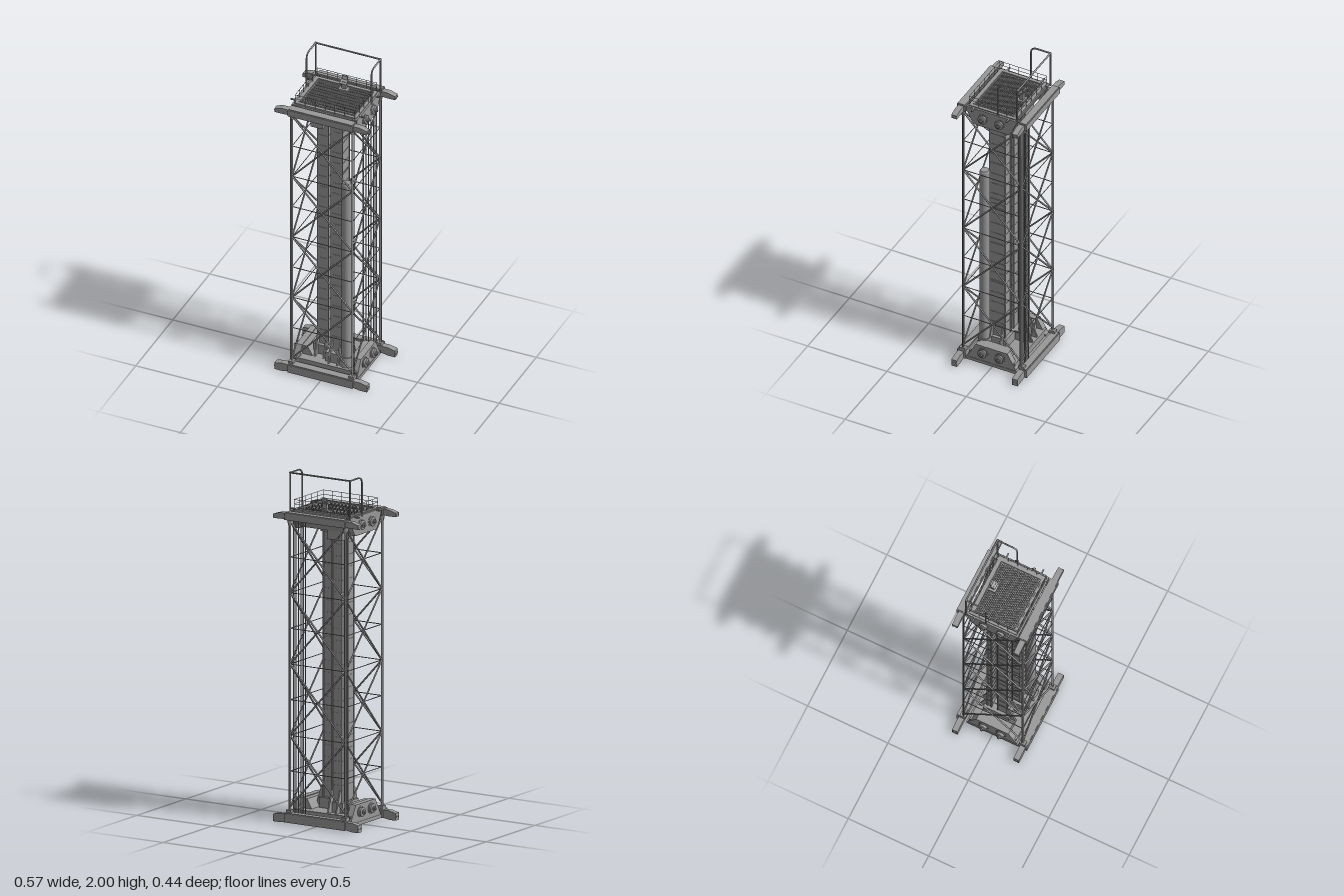
import * as THREE from 'three';

const mat = new THREE.MeshStandardMaterial({ color: 0x989898 });
const V = (x, y, z) => new THREE.Vector3(x, y, z);
const SIDES = [-1, 1];

function add(parent, name, geo, x = 0, y = 0, z = 0) {
  const m = new THREE.Mesh(geo, mat);
  m.name = name;
  m.position.set(x, y, z);
  parent.add(m);
  return m;
}

// Box given by its limits on each axis
function box(parent, name, x0, x1, y0, y1, z0, z1) {
  return add(parent, name, new THREE.BoxGeometry(x1 - x0, y1 - y0, z1 - z0),
    (x0 + x1) / 2, (y0 + y1) / 2, (z0 + z1) / 2);
}

// Round bar between two points
function bar(parent, name, a, b, r, sides = 6) {
  const m = add(parent, name, new THREE.CylinderGeometry(r, r, a.distanceTo(b), sides));
  m.position.copy(a).lerp(b, 0.5);
  m.quaternion.setFromUnitVectors(V(0, 1, 0), b.clone().sub(a).normalize());
  return m;
}

// Outline in x,y extruded along z, centred on z = 0
function prism(points, depth) {
  const s = new THREE.Shape(points.map(p => new THREE.Vector2(...p)));
  return new THREE.ExtrudeGeometry(s, { depth, bevelEnabled: false }).translate(0, 0, -depth / 2);
}

function group(parent, name) {
  const g = new THREE.Group();
  g.name = name;
  parent.add(g);
  return g;
}

// Stepped roller hub on an end plate, pointing along x
function hub(parent, side, y, z) {
  const profile = [[0, 0], [0.031, 0], [0.031, 0.008], [0.024, 0.008], [0.024, 0.016], [0.027, 0.016],
    [0.027, 0.021], [0.014, 0.024], [0.014, 0.03], [0.007, 0.03], [0.007, 0.038], [0, 0.038]];
  const geo = new THREE.LatheGeometry(profile.map(p => new THREE.Vector2(...p)), 20).toNonIndexed();
  geo.computeVertexNormals();
  add(parent, 'rollerHub', geo, side * 0.194, y, z).rotation.z = -side * Math.PI / 2;
}

// Cross beam with a tapered arm at each end
function crossBeam(parent, s, yLow, yHigh, tipLow, tipHigh) {
  const z = s > 0 ? 0.19 : -0.198, w = s > 0 ? 0.027 : 0.024, armZ = s * 0.191;
  box(parent, 'crossBeam', -0.2, 0.2, yLow, yHigh, z - w, z + w);
  box(parent, 'beamCap', -0.196, 0.196, yHigh, yHigh + 0.004, z - w + 0.005, z + w - 0.005);
  for (const x of SIDES) {
    const pts = [[0.19, yLow + 0.003], [0.24, tipLow], [0.283, tipLow], [0.283, tipHigh], [0.24, yHigh - 0.004], [0.19, yHigh - 0.004]];
    const arm = add(parent, 'beamArm', prism(pts, 0.034), 0, 0, armZ);
    if (x < 0) arm.rotation.y = Math.PI;
    for (const dz of [-0.011, 0.011]) {
      bar(parent, 'armBolt', V(x * 0.28, (tipLow + tipHigh) / 2, armZ + dz), V(x * 0.287, (tipLow + tipHigh) / 2, armZ + dz), 0.004);
    }
  }
}

function buildBase(root) {
  const g = group(root, 'base');
  box(g, 'floorPlate', -0.2, 0.2, 0.01, 0.03, -0.16, 0.16);
  box(g, 'deck', -0.19, 0.19, 0.03, 0.07, -0.145, 0.145);
  for (const s of SIDES) {
    const plate = prism([[-0.15, 0.02], [0.15, 0.02], [0.15, 0.04], [0.1, 0.13], [-0.1, 0.13], [-0.15, 0.04]], 0.035);
    add(g, 'endPlate', plate.rotateY(Math.PI / 2), s * 0.18);
    for (const z of [-0.053, 0.053]) hub(g, s, 0.085, z);
    // sloped cover behind the end plate
    const cover = add(g, 'endCover', prism([[0.1, 0.07], [0.17, 0.07], [0.17, 0.125], [0.13, 0.125]], 0.19));
    if (s < 0) cover.rotation.y = Math.PI;
    crossBeam(g, s, 0.006, 0.056, 0, 0.042);
    for (const x of SIDES) box(g, 'polePad', x * 0.185 - 0.015, x * 0.185 + 0.015, 0.056, 0.075, s * 0.185 - 0.018, s * 0.185 + 0.018);
  }
  // column feet with gussets
  box(g, 'columnFoot', -0.11, -0.015, 0.07, 0.13, -0.1, 0.06);
  box(g, 'columnFoot', -0.015, 0.09, 0.07, 0.13, -0.035, 0.11);
  const gusset = [[0, 0.07], [0.055, 0.07], [0.015, 0.195], [0, 0.195]];
  for (const x of [-0.088, -0.034]) {
    add(g, 'gusset', prism(gusset, 0.009).rotateY(Math.PI / 2), x, 0, -0.083);
    add(g, 'gusset', prism(gusset, 0.009).rotateY(-Math.PI / 2), x, 0, 0.04);
  }
  for (const x of [0.012, 0.066]) add(g, 'gusset', prism(gusset, 0.009).rotateY(-Math.PI / 2), x, 0, 0.075);
  for (const z of [-0.01, 0.06]) add(g, 'gusset', prism(gusset, 0.009), 0.073, 0, z);
  add(g, 'cylinderFoot', new THREE.CylinderGeometry(0.036, 0.042, 0.06, 20), 0.107, 0.1, 0.09);
}

function buildHead(root) {
  const g = group(root, 'head');
  const body = prism([[-0.105, 1.68], [0.105, 1.68], [0.15, 1.765], [-0.15, 1.765]], 0.34);
  add(g, 'headBody', body.rotateY(Math.PI / 2));
  for (const s of SIDES) {
    const plate = prism([[-0.11, 1.67], [0.11, 1.67], [0.13, 1.70], [0.158, 1.765], [0.158, 1.78], [-0.158, 1.78], [-0.158, 1.765], [-0.13, 1.70]], 0.03);
    add(g, 'endPlate', plate.rotateY(Math.PI / 2), s * 0.185);
    for (const z of [-0.053, 0.053]) hub(g, s, 1.725, z);
    for (const z of [-0.109, 0.109]) box(g, 'sidePin', s * 0.21 - 0.018, s * 0.21 + 0.018, 1.774, 1.782, z - 0.004, z + 0.004);
    crossBeam(g, s, 1.735, 1.775, 1.735, 1.758);
    for (const x of SIDES) {
      add(g, 'poleSocket', new THREE.CylinderGeometry(0.016, 0.012, 0.035, 12), x * 0.185, 1.72, s * 0.185);
      box(g, 'beamLink', x * 0.185 - 0.01, x * 0.185 + 0.01, 1.74, 1.76, Math.min(s * 0.14, s * 0.2), Math.max(s * 0.14, s * 0.2));
    }
  }
  // column mounts under the head
  box(g, 'columnMount', -0.11, -0.01, 1.63, 1.69, -0.105, -0.035);
  box(g, 'columnMount', -0.01, 0.085, 1.65, 1.69, -0.03, 0.09);
  box(g, 'mountBlock', -0.105, -0.03, 1.63, 1.69, 0.04, 0.115);

  // platform: stepped frames around a perforated deck
  box(g, 'platformPlate', -0.2, 0.2, 1.762, 1.774, -0.152, 0.158);
  const frame = (x, z, w, y0, y1) => {
    for (const s of SIDES) {
      box(g, 'frameRail', -x, x, y0, y1, s * (z - w / 2) - w / 2, s * (z - w / 2) + w / 2);
      box(g, 'frameRail', s * (x - w / 2) - w / 2, s * (x - w / 2) + w / 2, y0, y1, -z + w, z - w);
    }
  };
  frame(0.19, 0.148, 0.02, 1.772, 1.786);
  frame(0.172, 0.13, 0.008, 1.772, 1.79);
  const deck = new THREE.Shape([[-0.166, -0.124], [0.166, -0.124], [0.166, 0.124], [-0.166, 0.124]].map(p => new THREE.Vector2(...p)));
  const pitch = 0.0118, r = 0.0051;
  for (let row = 0; row < 23; row++) {
    for (let col = 0; col < 27; col++) {
      const cx = (col - 13) * pitch + (row % 2 ? 0.00295 : -0.00295), cy = (row - 11) * 0.0103;
      const pts = [];
      for (let k = 0; k < 6; k++) pts.push(new THREE.Vector2(cx + r * Math.sin(k * Math.PI / 3), cy + r * Math.cos(k * Math.PI / 3)));
      deck.holes.push(new THREE.Path(pts));
    }
  }
  const grate = new THREE.ExtrudeGeometry(deck, { depth: 0.006, bevelEnabled: false });
  add(g, 'perforatedDeck', grate.rotateX(-Math.PI / 2), 0, 1.776, 0);

  // control stand
  box(g, 'controlBase', -0.02, 0.035, 1.78, 1.792, -0.113, -0.07);
  box(g, 'controlPost', -0.006, 0.022, 1.79, 1.838, -0.105, -0.085);
  box(g, 'controlPanel', -0.014, 0.028, 1.828, 1.838, -0.108, -0.074).rotation.x = 0.5;
  box(g, 'controlScreen', -0.01, 0.024, 1.836, 1.864, -0.11, -0.102).rotation.x = -0.3;

  // low thin railing
  for (const s of SIDES) {
    for (const y of [1.815, 1.84]) {
      bar(g, 'lowRail', V(-0.183, y, s * 0.148), V(0.183, y, s * 0.148), 0.0014);
      bar(g, 'lowRail', V(s * 0.183, y, -0.148), V(s * 0.183, y, 0.148), 0.0014);
    }
    for (let i = 0; i <= 6; i++) bar(g, 'lowRailPost', V(-0.183 + i * 0.061, 1.78, s * 0.148), V(-0.183 + i * 0.061, 1.84, s * 0.148), 0.0014);
    for (let i = 1; i < 5; i++) bar(g, 'lowRailPost', V(s * 0.183, 1.78, -0.148 + i * 0.0592), V(s * 0.183, 1.84, -0.148 + i * 0.0592), 0.0014);
  }

  // tall guard rail: curved at the front, square at the back
  for (const s of SIDES) {
    const x = s * 0.199;
    const path = new THREE.CurvePath();
    path.add(new THREE.LineCurve3(V(x, 1.77, -0.04), V(x, 1.955, -0.04)));
    path.add(new THREE.QuadraticBezierCurve3(V(x, 1.955, -0.04), V(x, 1.995, -0.04), V(x, 1.995, -0.08)));
    path.add(new THREE.LineCurve3(V(x, 1.995, -0.08), V(x, 1.995, -0.165)));
    add(g, 'guardHoop', new THREE.TubeGeometry(path, 48, 0.005, 8));
    bar(g, 'guardPost', V(x, 1.77, -0.163), V(x, 2, -0.163), 0.005, 8);
  }
  bar(g, 'guardTopBar', V(-0.203, 1.995, -0.163), V(0.203, 1.995, -0.163), 0.005, 8);
}

function buildTruss(root) {
  const g = group(root, 'truss');
  const h = 0.185, step = 0.204, y0 = 0.09;
  for (const x of SIDES) for (const z of SIDES) bar(g, 'cornerPole', V(x * h, 0.06, z * h), V(x * h, 1.74, z * h), 0.0065, 8);
  // each of the four faces gets crossing braces and thin ties
  for (let f = 0; f < 4; f++) {
    const face = group(g, 'trussFace');
    face.rotation.y = f * Math.PI / 2;
    for (let i = 0; i < 4; i++) {
      const a = y0 + i * 2 * step, b = a + 2 * step;
      for (const s of SIDES) bar(face, 'diagonalBrace', V(-s * h, a, h), V(s * h, b, h), 0.005);
    }
    for (let i = 1; i < 8; i++) bar(face, 'horizontalTie', V(-h, y0 + i * step, h), V(h, y0 + i * step, h), 0.0025);
  }
  // thin cables outside the corner poles
  for (const s of SIDES) for (const z of SIDES) bar(g, 'sideCable', V(s * 0.197, 0.06, z * 0.18), V(s * 0.197, 1.74, z * 0.18), 0.002);
  // service pipes at the rear left corner
  for (const x of [0.088, 0.104, 0.12, 0.136, 0.152, 0.167]) bar(g, 'servicePipe', V(x, 0.05, -0.175), V(x, 1.745, -0.175), 0.0033);
}

// Box column with edge strips, and rungs on all four faces
function column(parent, name, x0, x1, z0, z1) {
  const g = group(parent, name), e = 0.004;
  box(g, 'columnBody', x0, x1, 0.12, 1.68, z0, z1);
  for (const x of [x0, x1]) for (const z of [z0, z1]) box(g, 'columnFlange', x - e, x + e, 0.12, 1.68, z - e, z + e);
  for (let i = 0; i < 21; i++) {
    const y = 0.22 + i * 0.069;
    box(g, 'columnRung', x0 + 0.006, x1 - 0.006, y, y + 0.005, z0 - 0.002, z1 + 0.002);
    box(g, 'columnRung', x0 - 0.002, x1 + 0.002, y, y + 0.005, z0 + 0.006, z1 - 0.006);
  }
}

function buildColumns(root) {
  const g = group(root, 'columns');
  column(g, 'mainColumn', 0.006, 0.072, -0.018, 0.075);
  column(g, 'sideColumn', -0.092, -0.03, -0.018, 0.04);
  column(g, 'slimColumn', -0.092, -0.03, -0.083, -0.057);
  for (const y of [0.2, 0.51, 0.77, 1.02, 1.08, 1.33]) box(g, 'columnBand', 0.002, 0.0765, y - 0.005, y + 0.005, -0.014, 0.071);
  // pressure cylinder beside the main column
  add(g, 'longCylinder', new THREE.CylinderGeometry(0.029, 0.029, 1.17, 24), 0.107, 0.7, 0.09);
  add(g, 'cylinderCap', new THREE.CylinderGeometry(0.024, 0.029, 0.01, 24), 0.107, 1.29, 0.09);
}

export function createModel() {
  const root = new THREE.Group();
  root.name = 'latticeLiftTower';
  buildBase(root);
  buildTruss(root);
  buildColumns(root);
  buildHead(root);
  return root;
}
